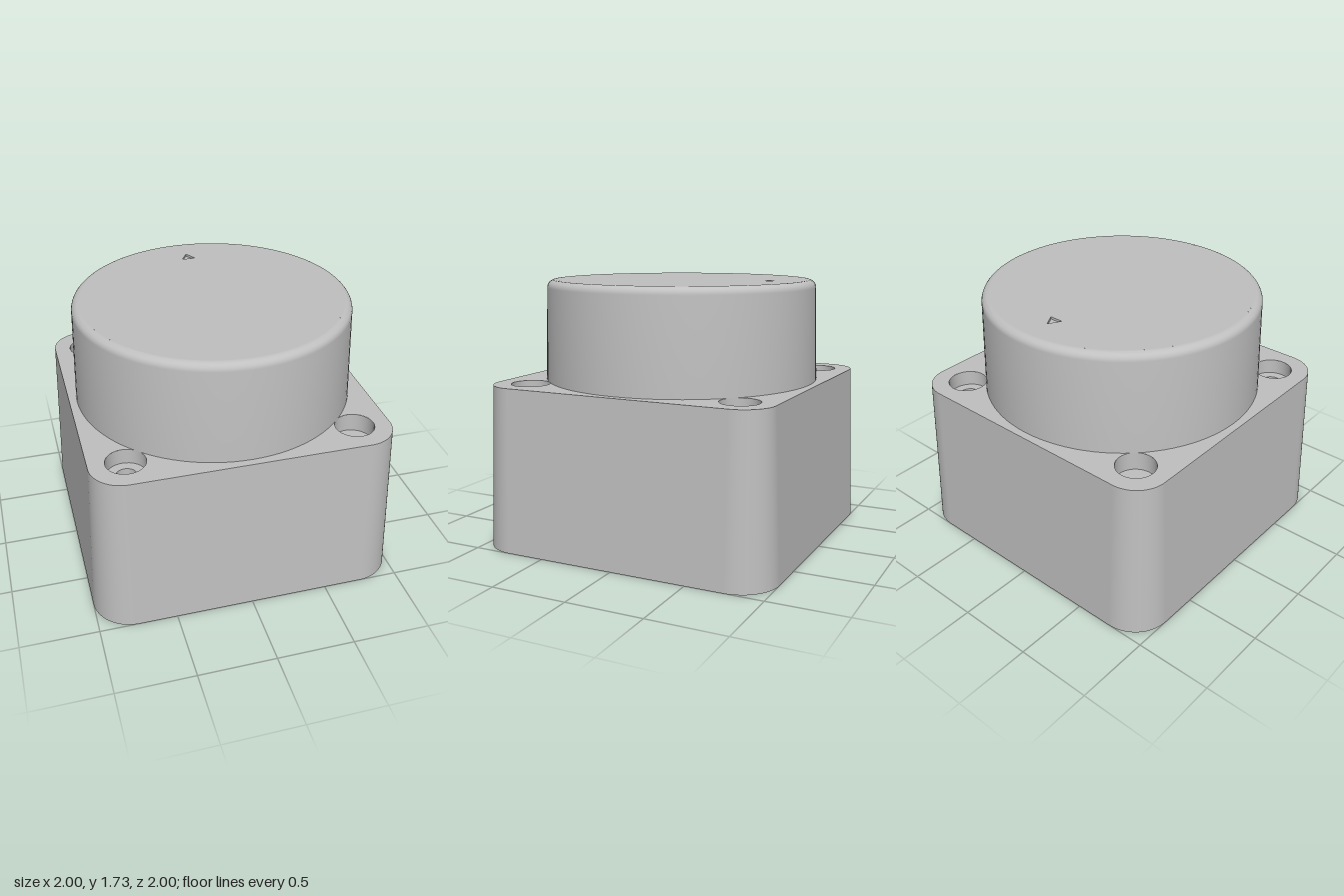
import * as THREE from 'three';
import { toCreasedNormals } from 'three/addons/utils/BufferGeometryUtils.js';

const TOP = 1.07;      // top of the square housing
const CAP = 1.725;     // top of the round cap
const HOLE = 0.73;     // hole offset from the centre
const BORE = 0.125, SCREW = 0.065;

// Rounded square, counter-clockwise
function roundedSquare(h, r) {
  const s = new THREE.Shape(), c = h - r;
  s.absarc(c, c, r, 0, Math.PI / 2);
  s.absarc(-c, c, r, Math.PI / 2, Math.PI);
  s.absarc(-c, -c, r, Math.PI, Math.PI * 1.5);
  s.absarc(c, -c, r, Math.PI * 1.5, Math.PI * 2);
  s.closePath();
  return s;
}

function ring(shape) {
  const pts = shape.getPoints(16);
  if (pts[0].distanceTo(pts[pts.length - 1]) < 1e-5) pts.pop();
  return pts;
}

// Wall between two matching outlines
function loft(lower, upper, y0, y1) {
  const pos = [], idx = [], n = lower.length;
  lower.forEach((p) => pos.push(p.x, y0, -p.y));
  upper.forEach((p) => pos.push(p.x, y1, -p.y));
  for (let i = 0; i < n; i++) {
    const j = (i + 1) % n;
    idx.push(i, j, n + j, i, n + j, n + i);
  }
  const g = new THREE.BufferGeometry();
  g.setAttribute('position', new THREE.Float32BufferAttribute(pos, 3));
  g.setIndex(idx);
  g.computeVertexNormals();
  return g;
}

function plate(shape, y, up) {
  return new THREE.ShapeGeometry(shape, 64).rotateX(up ? -Math.PI / 2 : Math.PI / 2).translate(0, y, 0);
}

function lathe(profile, segments) {
  const pts = profile.map(([x, y]) => new THREE.Vector2(x, y));
  return toCreasedNormals(new THREE.LatheGeometry(pts, segments), 0.6);
}

function circleHole(shape, x, y, r) {
  shape.holes.push(new THREE.Path().absarc(x, y, r, 0, Math.PI * 2, true));
}

export function createModel() {
  const model = new THREE.Group();
  model.name = 'squareHousingWithRoundCap';
  const grey = new THREE.MeshStandardMaterial({ color: 0xc0c0c0 });
  grey.name = 'grey';
  const add = (name, geometry, parent = model) => {
    const m = new THREE.Mesh(geometry, grey);
    m.name = name;
    parent.add(m);
    return m;
  };

  // Tapered housing with drilled top and bottom faces
  const bottom = roundedSquare(1, 0.25), top = roundedSquare(0.96, 0.21);
  add('housingWalls', loft(ring(bottom), ring(top), 0, TOP));

  const holes = new THREE.Group();
  holes.name = 'cornerHoles';
  model.add(holes);
  for (const sx of [-1, 1]) for (const sz of [-1, 1]) {
    const x = sx * HOLE, z = sz * HOLE, through = sx !== sz;
    circleHole(top, x, -z, BORE);
    circleHole(bottom, x, z, through ? SCREW : BORE);
    if (through) {
      // Counterbored screw hole
      add('screwHole', lathe([[BORE, TOP], [BORE, TOP - 0.1], [SCREW, TOP - 0.1], [SCREW, 0]], 40), holes)
        .position.set(x, 0, z);
    } else {
      // Blind sockets above and below
      add('topSocket', lathe([[BORE, TOP], [BORE, TOP - 0.12], [0, TOP - 0.12]], 40), holes).position.set(x, 0, z);
      add('bottomSocket', lathe([[0, 0.25], [BORE, 0.25], [BORE, 0]], 40), holes).position.set(x, 0, z);
    }
  }
  add('housingTop', plate(top, TOP, true));
  add('housingBottom', plate(bottom, 0, false));

  // Round cap with a filleted rim
  const profile = [[0.91, TOP]];
  const f = 0.05;
  for (let i = 0; i <= 8; i++) {
    const a = (i / 8) * Math.PI / 2;
    profile.push([0.842 + f * Math.cos(a), CAP - f + f * Math.sin(a)]);
  }
  add('capSide', lathe(profile, 96));

  // Cap face with an engraved pointer at the back
  const face = new THREE.Shape().absarc(0, 0, 0.842, 0, Math.PI * 2);
  const corners = [[-0.045, 0.6], [0, 0.68], [0.045, 0.6]].map(([x, y]) => new THREE.Vector2(x, y));
  face.holes.push(new THREE.Path(corners).closePath());
  add('capFace', plate(face, CAP, true));
  const depth = 0.015;
  add('pointerWalls', toCreasedNormals(loft(corners, corners, CAP - depth, CAP), 0.3));
  add('pointerFloor', plate(new THREE.Shape(corners), CAP - depth, true));

  return model;
}
